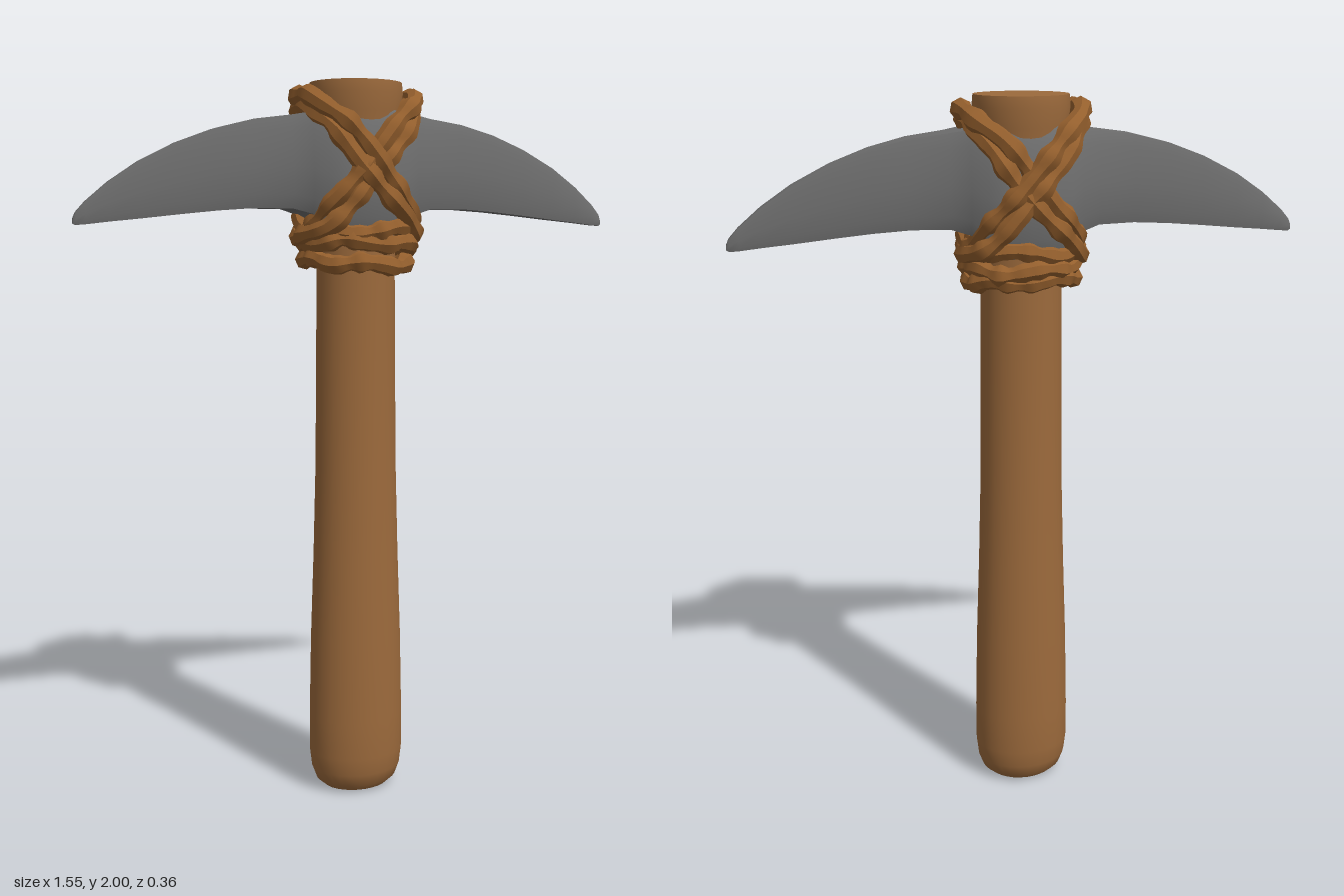
import * as THREE from 'three';
import { toCreasedNormals } from 'three/addons/utils/BufferGeometryUtils.js';

const wood = new THREE.MeshStandardMaterial({ color: 0x9c6a3c });
wood.name = 'wood';
const rope = new THREE.MeshStandardMaterial({ color: 0x945f2d });
rope.name = 'rope';
const stone = new THREE.MeshStandardMaterial({ color: 0x6e6e6e });
stone.name = 'stone';

function addMesh(parent, name, geometry, material) {
  const mesh = new THREE.Mesh(geometry, material);
  mesh.name = name;
  parent.add(mesh);
}

// Turned handle, a little narrower in z than in x along the shaft
function handleGeometry() {
  const profile = [
    [0, 0], [0.095, 0.005], [0.118, 0.025], [0.131, 0.06], [0.137, 0.11], [0.137, 0.22],
    [0.132, 0.45], [0.123, 0.7], [0.116, 0.95], [0.113, 1.2], [0.11, 1.5], [0.112, 1.8],
    [0.122, 1.92], [0.129, 1.97], [0.126, 2], [0, 2],
  ].map(([r, y]) => new THREE.Vector2(r, y));
  const g = new THREE.LatheGeometry(profile, 28);
  const p = g.attributes.position;
  for (let i = 0; i < p.count; i++) {
    const y = p.getY(i);
    const squash = y < 1.5 ? 0.82 + 0.09 * y / 1.5 : THREE.MathUtils.lerp(0.91, 0.97, (y - 1.5) / 0.5);
    p.setZ(i, p.getZ(i) * squash);
  }
  return toCreasedNormals(g, 0.7);
}

// Curved two-pointed head, lofted through sections along x
function headGeometry() {
  // x, top, bottom, half thickness
  const half = [
    [0, 1.925, 1.59, 0.138], [0.06, 1.925, 1.59, 0.134], [0.11, 1.922, 1.61, 0.118],
    [0.15, 1.916, 1.65, 0.09], [0.2, 1.908, 1.664, 0.068], [0.3, 1.895, 1.665, 0.055],
    [0.4, 1.87, 1.658, 0.045], [0.5, 1.833, 1.648, 0.036], [0.6, 1.783, 1.637, 0.028],
    [0.68, 1.73, 1.629, 0.02], [0.74, 1.68, 1.622, 0.013], [0.765, 1.653, 1.62, 0.009],
    [0.773, 1.636, 1.624, 0.005],
  ];
  const sections = [...half.slice(1).reverse().map(([x, ...s]) => [-x, ...s]), ...half];
  const side = [[0.72, 1], [0.9, 0.86], [1, 0.45], [1, 0.15], [0.85, 0]];
  const ring = [...side, ...side.slice().reverse().map(([w, h]) => [-w, h])];
  const n = ring.length;
  const verts = [];
  const index = [];
  sections.forEach(([x, top, bottom, w], i) => {
    ring.forEach(([rw, rh], j) => {
      verts.push(x, bottom + (top - bottom) * rh, rw * w);
      if (i < sections.length - 1) {
        const a = i * n + j;
        const b = i * n + (j + 1) % n;
        index.push(a, b, a + n, b, b + n, a + n);
      }
    });
  });
  const last = (sections.length - 1) * n;
  for (let j = 1; j < n - 1; j++) index.push(last, last + j, last + j + 1, 0, j + 1, j);
  const g = new THREE.BufferGeometry();
  g.setAttribute('position', new THREE.Float32BufferAttribute(verts, 3));
  g.setIndex(index);
  return toCreasedNormals(g, 0.65);
}

const soft = (v, e) => Math.sign(v) * Math.abs(v) ** e;

// Closed rough cord; height(t) gives its y around the handle
function cordGeometry(rx, rz, height, radius, seed, push = () => 0) {
  const points = [];
  for (let i = 0; i < 32; i++) {
    const t = i / 32 * Math.PI * 2;
    const r = 1 + push(t) + 0.025 * Math.sin(3 * t + seed * 2.1);
    points.push(new THREE.Vector3(
      rx * r * soft(Math.cos(t), 0.8),
      height(t) + 0.006 * Math.sin(5 * t + seed * 1.7),
      rz * r * soft(Math.sin(t), 0.8),
    ));
  }
  const curve = new THREE.CatmullRomCurve3(points, true);
  const g = new THREE.TubeGeometry(curve, 72, radius, 7, true);
  // Uneven thickness along the cord
  const p = g.attributes.position;
  const v = new THREE.Vector3();
  for (let i = 0; i < p.count; i++) {
    const u = Math.floor(i / 8) / 72;
    const c = curve.getPointAt(u % 1);
    const k = 1 + 0.14 * Math.sin(u * Math.PI * 22 + seed) + 0.1 * Math.sin(u * Math.PI * 34 + seed * 3);
    v.fromBufferAttribute(p, i).sub(c).multiplyScalar(k).add(c);
    p.setXYZ(i, v.x, v.y, v.z);
  }
  return toCreasedNormals(g, 0.75);
}

export function createModel() {
  const model = new THREE.Group();
  model.name = 'pickaxe';
  addMesh(model, 'handle', handleGeometry(), wood);
  addMesh(model, 'head', headGeometry(), stone);

  // Crossed lashings: tilted loops over one arm of the head and under the other
  const lashing = new THREE.Group();
  lashing.name = 'lashing';
  model.add(lashing);
  [1, -1].forEach((tilt, a) => {
    [-1, 1].forEach((offset, b) => {
      const height = (t) => 1.775 + tilt * 0.172 * soft(Math.cos(t), 0.8)
        + offset * (0.01 + 0.022 * Math.abs(Math.sin(t)));
      const over = (t) => (a ? 0.07 : 0) * Math.abs(Math.sin(t)) ** 8
        + offset * tilt * 0.04 * Math.cos(t);
      addMesh(lashing, 'crossCord', cordGeometry(0.15, 0.138, height, 0.026, a * 2 + b, over), rope);
    });
  });

  // Horizontal wraps below the head
  [[1.605, 0.014, 0.137], [1.567, -0.012, 0.141], [1.525, 0.01, 0.136]].forEach(([y, lean, r], i) => {
    const height = (t) => y + lean * Math.cos(t + i);
    addMesh(lashing, 'wrapCord', cordGeometry(r, r * 0.94, height, 0.025, i + 5), rope);
  });
  return model;
}
